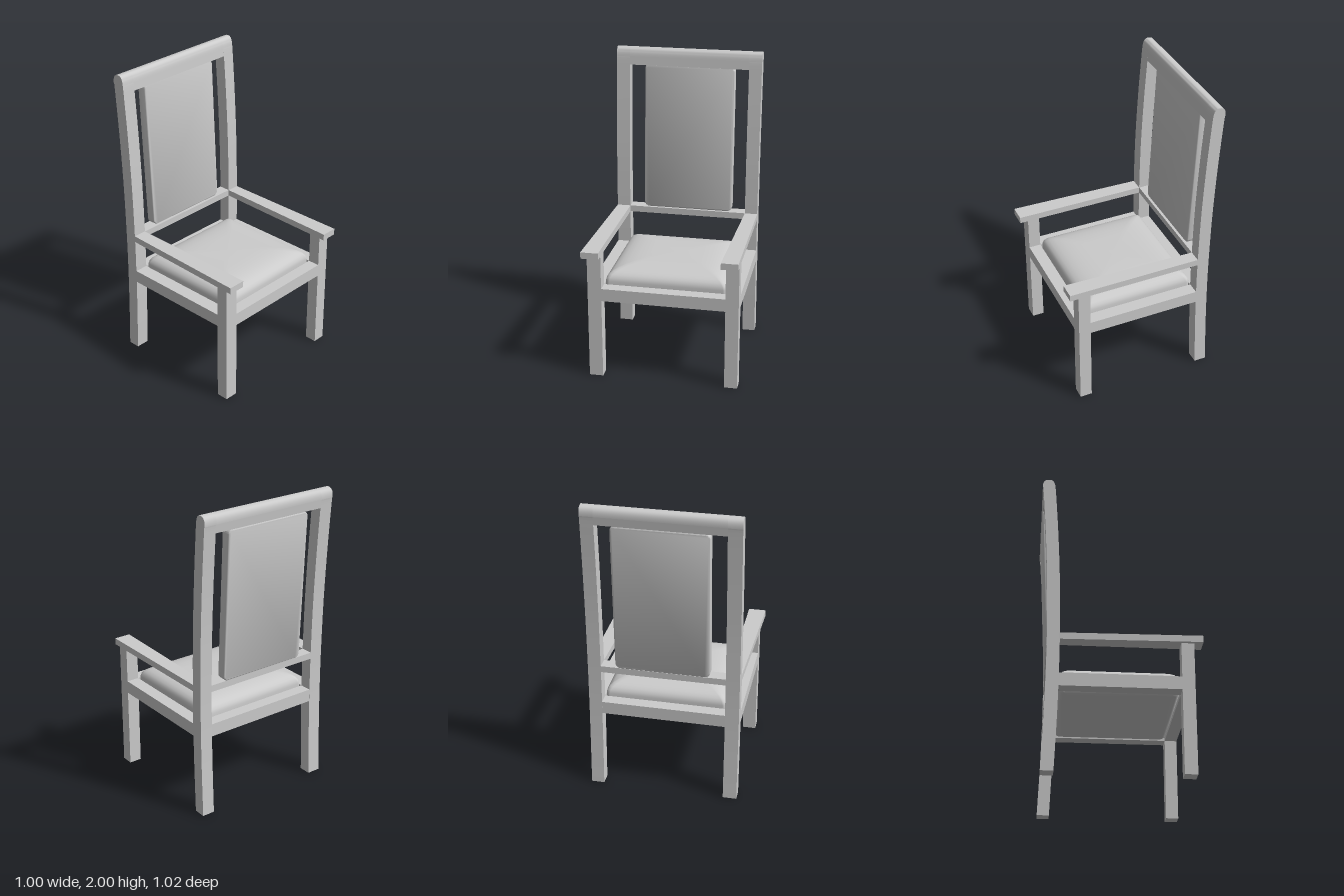
import * as THREE from 'three';
import { toCreasedNormals } from 'three/addons/utils/BufferGeometryUtils.js';

const material = new THREE.MeshStandardMaterial({ color: 0xcccccc });

// Outer faces and inner faces of the two sides of the frame
const X0 = -0.48, X1 = -0.39, X2 = 0.415, X3 = 0.5;
const MID = (X0 + X3) / 2;

export function createModel() {
  const chair = new THREE.Group();
  chair.name = 'armchair';

  const add = (name, geometry) => {
    const mesh = new THREE.Mesh(geometry, material);
    mesh.name = name;
    chair.add(mesh);
    return mesh;
  };
  const box = (name, x0, x1, y0, y1, z0, z1) =>
    add(name, new THREE.BoxGeometry(x1 - x0, y1 - y0, z1 - z0)
      .translate((x0 + x1) / 2, (y0 + y1) / 2, (z0 + z1) / 2));

  // Side profile drawn as (z, y), extruded along x
  const extrudeX = (name, shape, x0, x1) => {
    const g = new THREE.ExtrudeGeometry(shape, { depth: x1 - x0, bevelEnabled: false, curveSegments: 10 });
    g.rotateY(-Math.PI / 2).translate(x1, 0, 0);
    return add(name, toCreasedNormals(g, 0.6));
  };

  // Curved back posts and top rail share one rounded profile
  const v = (z, y) => new THREE.Vector2(z, y);
  const backProfile = (lower) => {
    const front = [...lower.map(([z, y]) => v(z, y)), v(-0.425, 1.94)];
    const back = front.map(p => v(p.x - 0.08, p.y)).reverse();
    const s = new THREE.Shape();
    s.moveTo(front[0].x, front[0].y);
    s.splineThru(front.slice(1));
    s.bezierCurveTo(-0.428, 1.98, -0.44, 2, -0.462, 2);
    s.bezierCurveTo(-0.495, 2, -0.51, 1.985, back[0].x - 0.003, back[0].y);
    s.lineTo(back[0].x, back[0].y);
    s.splineThru(back.slice(1));
    return s;
  };
  const post = backProfile([[-0.395, 0], [-0.382, 0.35], [-0.376, 0.65], [-0.376, 0.9],
    [-0.383, 1.25], [-0.4, 1.6], [-0.42, 1.885]]);
  extrudeX('rightBackPost', post, X0, X1);
  extrudeX('leftBackPost', post, X2, X3);
  extrudeX('topRail', backProfile([[-0.42, 1.885]]), X1, X2);

  // Front legs, seat side rails and armrests that widen towards the front
  for (const [side, a, b] of [['right', X0, X1], ['left', X2, X3]]) {
    box(side + 'FrontLeg', a, b, 0, 0.85, 0.375, 0.455);
    box(side + 'SeatRail', a, b, 0.54, 0.625, -0.38, 0.375);
    const arm = box(side + 'Armrest', a, b, 0.85, 0.893, -0.38, 0.51);
    const p = arm.geometry.attributes.position;
    for (let i = 0; i < p.count; i++) {
      if (p.getZ(i) > 0 && p.getX(i) < (a + b) / 2) p.setX(i, p.getX(i) - 0.025);
    }
    arm.geometry.computeVertexNormals();
  }

  // Cross rails
  box('frontSeatRail', X1, X2, 0.54, 0.625, 0.375, 0.455);
  box('backSeatRail', X1, X2, 0.54, 0.625, -0.456, -0.376);
  box('lowerBackRail', X1, X2, 0.85, 0.893, -0.456, -0.376);

  add('seatCushion', cushionGeometry(0.398, 0.373)).position.set(MID + 0.003, 0, -0.002);

  // Upholstered back panel, leaning backwards between the rails
  const w = 0.295, h = 0.49, r = 0.025, bevel = 0.01;
  const s = new THREE.Shape();
  s.absarc(w - r, h - r, r, 0, Math.PI / 2);
  s.absarc(r - w, h - r, r, Math.PI / 2, Math.PI);
  s.absarc(r - w, r - h, r, Math.PI, Math.PI * 1.5);
  s.absarc(w - r, r - h, r, Math.PI * 1.5, Math.PI * 2);
  const panel = new THREE.ExtrudeGeometry(s, {
    depth: 0.046, bevelSize: bevel, bevelThickness: bevel, bevelSegments: 4, curveSegments: 6,
  });
  panel.translate(0, 0, -0.023);
  const back = add('backPanel', toCreasedNormals(panel, 0.6));
  back.position.set(0.015, 1.39, -0.446);
  back.rotation.x = -0.047;

  return chair;
}

// Domed cushion lofted through rounded rectangles: [height, inset]
function cushionGeometry(halfX, halfZ) {
  const sections = [[0.535, 0.39], [0.535, 0.06], [0.54, 0.02], [0.555, 0], [0.6, 0], [0.645, 0.001],
    [0.667, 0.007], [0.685, 0.02], [0.699, 0.04], [0.711, 0.07], [0.72, 0.11], [0.726, 0.16],
    [0.73, 0.23], [0.731, 0.39]];
  const perCorner = 6, positions = [], indices = [];
  const signs = [[1, 1], [-1, 1], [-1, -1], [1, -1]];
  for (const [y, inset] of sections) {
    const hx = halfX - inset;
    const hz = Math.max(halfZ - inset, 0.005);
    const r = Math.min(0.025, hx, hz);
    signs.forEach(([sx, sz], c) => {
      for (let k = 0; k < perCorner; k++) {
        const a = (c + k / (perCorner - 1)) * Math.PI / 2;
        positions.push(sx * (hx - r) + r * Math.cos(a), y, sz * (hz - r) + r * Math.sin(a));
      }
    });
  }
  const n = perCorner * 4;
  for (let i = 0; i < sections.length - 1; i++) {
    for (let j = 0; j < n; j++) {
      const a = i * n + j, b = i * n + (j + 1) % n;
      indices.push(a, a + n, b, b, a + n, b + n);
    }
  }
  // Close the small top and bottom rings
  const last = (sections.length - 1) * n;
  for (let j = 1; j < n - 1; j++) {
    indices.push(0, j, j + 1, last, last + j + 1, last + j);
  }
  const g = new THREE.BufferGeometry();
  g.setAttribute('position', new THREE.Float32BufferAttribute(positions, 3));
  g.setIndex(indices);
  g.computeVertexNormals();
  return g;
}
